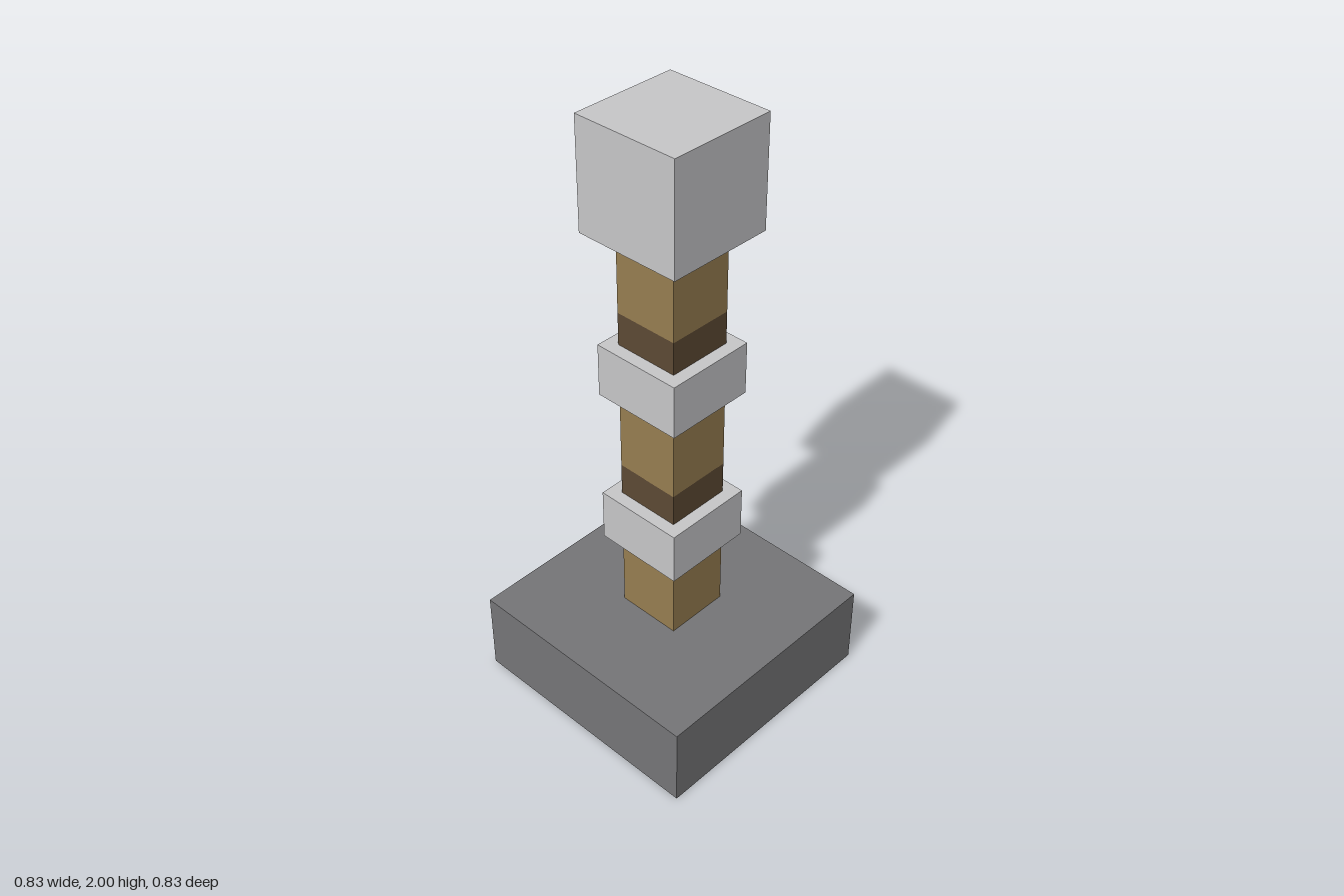
import * as THREE from 'three';

export function createModel() {
  const model = new THREE.Group();
  model.name = 'post';

  const material = (name, color) => {
    const m = new THREE.MeshStandardMaterial({ color });
    m.name = name;
    return m;
  };
  const darkStone = material('dark stone', 0x767678);
  const lightStone = material('light stone', 0xc7c7c9);
  const wood = material('wood', 0x977e51);
  const darkWood = material('dark wood', 0x5d4a34);

  // Square block of a given width between two heights
  const block = (name, width, bottom, top, mat) => {
    const mesh = new THREE.Mesh(new THREE.BoxGeometry(width, top - bottom, width), mat);
    mesh.name = name;
    mesh.position.y = (bottom + top) / 2;
    model.add(mesh);
  };

  block('base', 0.834, 0, 0.28, darkStone);

  // Shaft in three lengths, each starting above a shaded band
  const shaftWidth = 0.218;
  block('lowerShaft', shaftWidth, 0.28, 0.55, wood);
  block('middleShaft', shaftWidth, 0.833, 1.1, wood);
  block('upperShaft', shaftWidth, 1.384, 1.645, wood);

  // Stone collars with a dark band of wood above each
  for (const [name, y] of [['lower', 0.55], ['upper', 1.1]]) {
    block(name + 'Collar', 0.302, y, y + 0.176, lightStone);
    block(name + 'Band', shaftWidth, y + 0.176, y + 0.284, darkWood);
  }

  block('head', 0.358, 1.645, 2, lightStone);

  return model;
}
